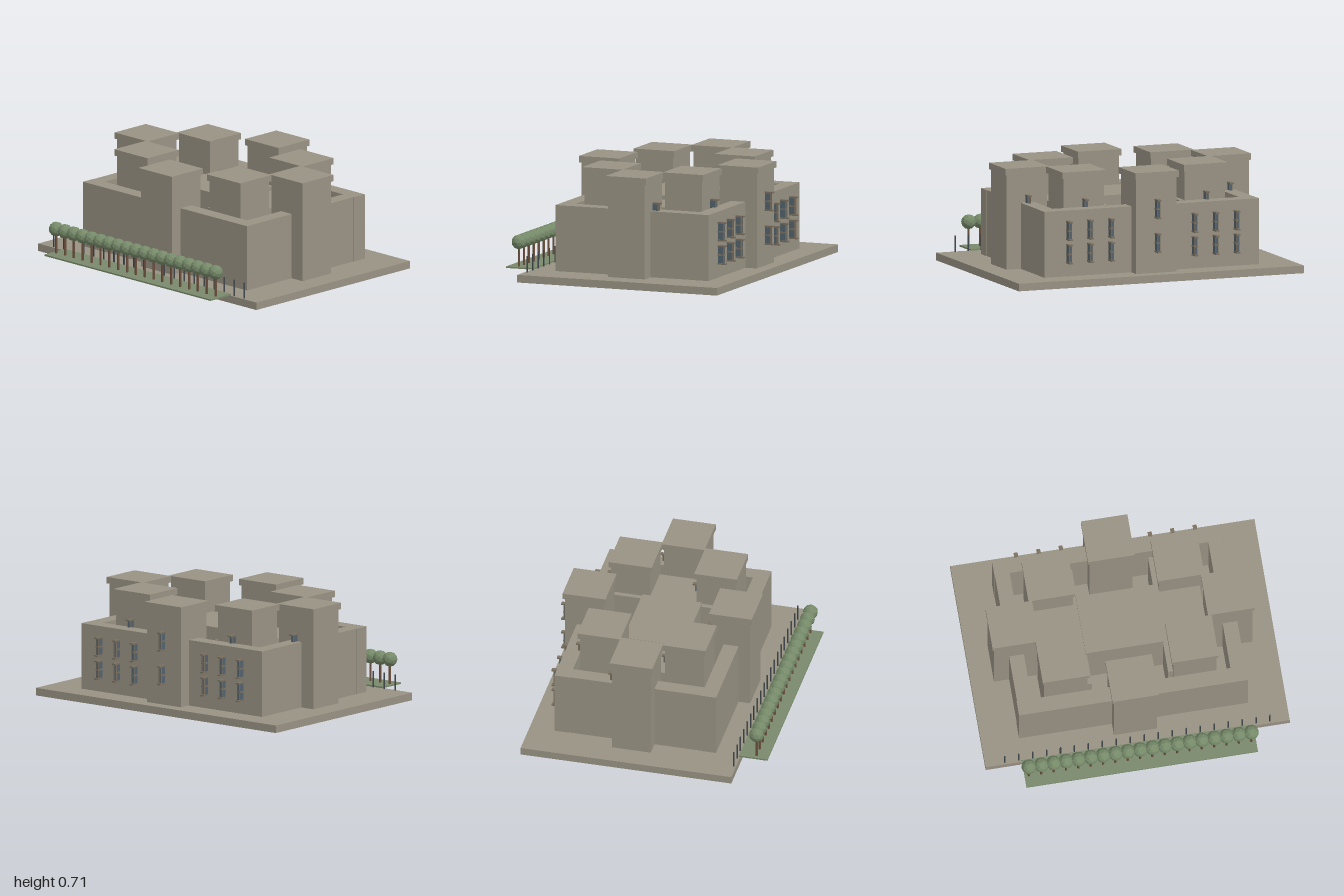
import * as THREE from 'three';

const mat = (name, color) => Object.assign(new THREE.MeshStandardMaterial({ color, flatShading: true }), { name });

export function createModel() {
  const root = new THREE.Group();
  root.name = 'building';
  const stone = mat('warm grey stone', 0x989283);
  const grass = mat('grass green', 0x7a8a6c);
  const leaf = mat('leaf green', 0x768a69);
  const bark = mat('bark brown', 0x6b4f3c);
  const glass = mat('slate blue glass', 0x52626c);
  const frame = mat('window frame brown', 0x7a7060);
  const metal = mat('dark post metal', 0x3f464b);

  // Box given by its limits on each axis
  const box = (name, x0, x1, y0, y1, z0, z1, material = stone, parent = root) => {
    const m = new THREE.Mesh(new THREE.BoxGeometry(x1 - x0, y1 - y0, z1 - z0), material);
    m.position.set((x0 + x1) / 2, (y0 + y1) / 2, (z0 + z1) / 2);
    m.name = name;
    parent.add(m);
    return m;
  };

  // Projecting window on a back face: two panes deep, sills above, between and below
  const bayWindow = (x, y, z) => {
    const g = new THREE.Group();
    g.name = 'bayWindow';
    g.position.set(x, y, z);
    box('glassBox', -0.009, 0.009, -0.056, 0.056, -0.04, 0, glass, g);
    for (const h of [-0.058, 0, 0.058]) {
      const d = h ? 0.057 : 0.043;
      box('sill', -0.013, 0.013, h - 0.005, h + 0.005, -d, 0, frame, g);
    }
    for (const s of [-1, 1]) {
      box('mullion', s * 0.009 - 0.002, s * 0.009 + 0.002, -0.058, 0.058, -0.043, -0.036, frame, g);
    }
    root.add(g);
  };

  // Plinth and lawn strip
  box('plinth', -1, 1, 0, 0.05, -0.795, 0.613);
  box('lawn', -0.761, 0.761, 0.05, 0.06, 0.605, 0.795, grass);

  // Outer ring of walls
  box('frontWall', -0.753, 0.753, 0.05, 0.483, 0.35, 0.45);
  box('backWall', -0.753, 0.753, 0.05, 0.483, -0.63, -0.53);
  for (const s of [-1, 1]) {
    const [a, b] = s > 0 ? [0.653, 0.75] : [-0.75, -0.653];
    box('sideWall', a, b, 0.05, 0.483, -0.53, 0.35);
    // Inner wings beneath the four courtyard towers
    const [c, d] = s > 0 ? [0.25, 0.55] : [-0.55, -0.25];
    box('innerWing', c, d, 0.05, 0.48, -0.49, 0.31);
  }

  // Central hall with a thin overhanging roof
  box('centralHall', -0.25, 0.25, 0.05, 0.492, -0.28, 0.1);
  box('centralRoof', -0.258, 0.258, 0.492, 0.508, -0.29, 0.108);

  // Eight capped towers
  const towers = [
    [0, 0.398], [0, -0.58], [-0.708, -0.092], [0.708, -0.092],
    [-0.425, 0.194], [0.425, 0.194], [-0.425, -0.376], [0.425, -0.376],
  ];
  for (const [x, z] of towers) {
    box('tower', x - 0.142, x + 0.142, 0.05, 0.672, z - 0.13, z + 0.13);
    box('towerCap', x - 0.153, x + 0.153, 0.672, 0.714, z - 0.143, z + 0.143);
    for (const y of [0.473, 0.25]) bayWindow(x, y, z - 0.13);
  }

  // Back wall windows, two rows
  for (const x of [0.293, 0.44, 0.588]) {
    for (const y of [0.353, 0.2]) {
      bayWindow(x, y, -0.63);
      bayWindow(-x, y, -0.63);
    }
  }

  // Row of posts along the front edge
  const postGeo = new THREE.CylinderGeometry(0.005, 0.005, 0.107, 8);
  for (let i = 0; i < 20; i++) {
    const post = new THREE.Mesh(postGeo, metal);
    post.name = 'post';
    post.position.set(-0.872 + i * 0.0918, 0.1035, 0.597);
    root.add(post);
  }

  // Row of clipped trees
  const trunkGeo = new THREE.CylinderGeometry(0.008, 0.008, 0.14, 8);
  const crownGeo = new THREE.IcosahedronGeometry(0.049, 1);
  for (let i = 0; i < 19; i++) {
    const tree = new THREE.Group();
    tree.name = 'tree';
    const trunk = new THREE.Mesh(trunkGeo, bark);
    trunk.name = 'trunk';
    trunk.position.y = 0.07;
    const crown = new THREE.Mesh(crownGeo, leaf);
    crown.name = 'crown';
    crown.position.y = 0.162;
    tree.add(trunk, crown);
    tree.position.set(-0.732 + i * 0.0812, 0.06, 0.716);
    root.add(tree);
  }
  return root;
}
